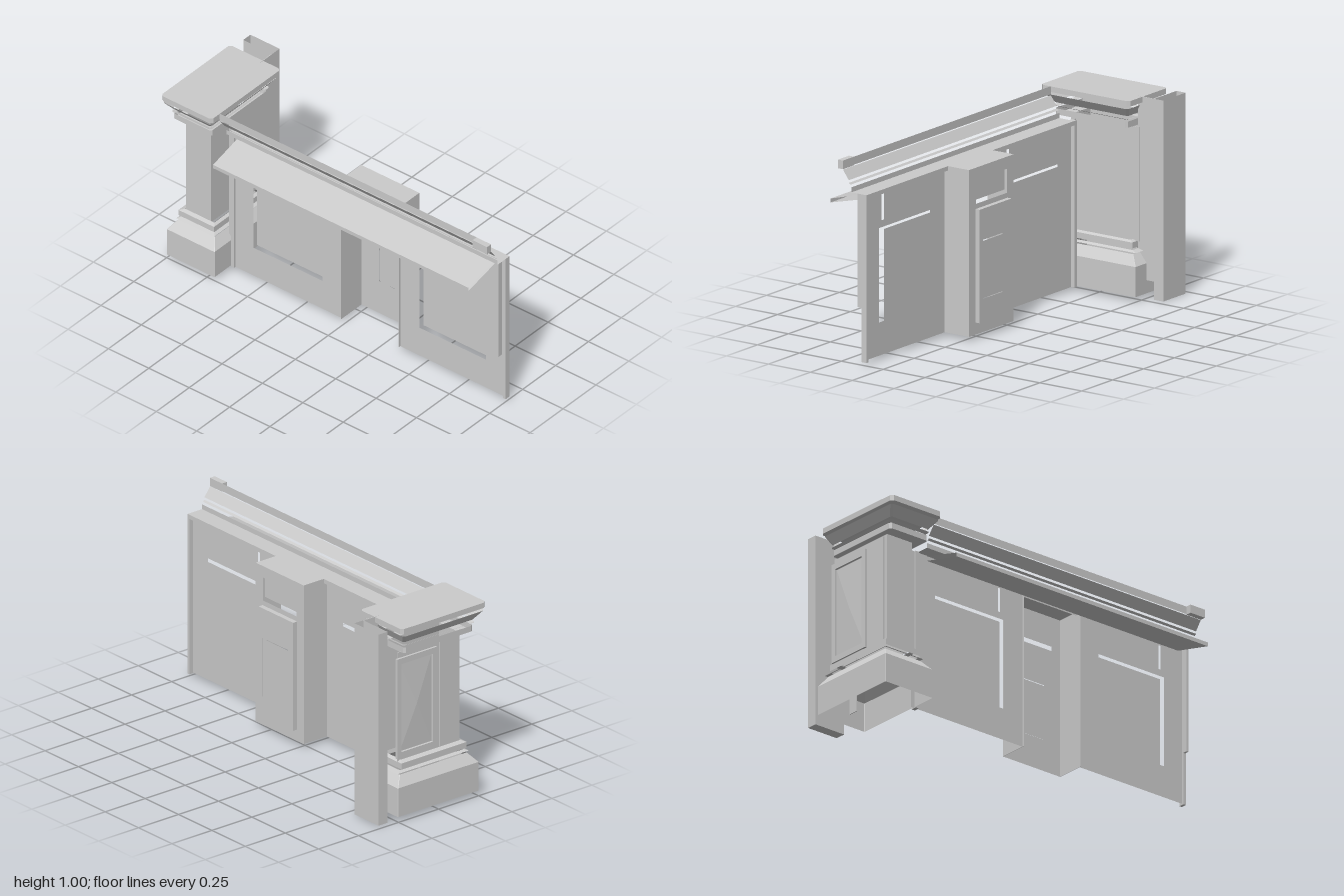
import * as THREE from 'three';

const mat = new THREE.MeshStandardMaterial({ color: 0xcccccc, side: THREE.DoubleSide, flatShading: true });

export function createModel() {
  const root = new THREE.Group();

  function add(parent, name, geo) {
    const m = new THREE.Mesh(geo, mat);
    m.name = name;
    parent.add(m);
    return m;
  }
  function group(name) {
    const g = new THREE.Group();
    g.name = name;
    root.add(g);
    return g;
  }
  // Box given by its limits
  function box(parent, name, x0, x1, y0, y1, z0, z1) {
    const g = new THREE.BoxGeometry(x1 - x0, y1 - y0, z1 - z0);
    g.translate((x0 + x1) / 2, (y0 + y1) / 2, (z0 + z1) / 2);
    return add(parent, name, g);
  }
  // Strip swept along z: an open (x, y) section between z0 and z1
  function strip(parent, name, section, z0, z1) {
    const pos = [], idx = [];
    section.forEach(([x, y], i) => {
      pos.push(x, y, z0, x, y, z1);
      if (i) idx.push(2 * i - 2, 2 * i, 2 * i - 1, 2 * i - 1, 2 * i, 2 * i + 1);
    });
    const g = new THREE.BufferGeometry();
    g.setAttribute('position', new THREE.Float32BufferAttribute(pos, 3));
    g.setIndex(idx);
    g.computeVertexNormals();
    return add(parent, name, g);
  }
  // Rectangle [x0, x1, z0, z1] with cut corners, as a loop of points
  const loop = ([a, b, c, d], k) => [
    [a + k, c], [b - k, c], [b, c + k], [b, d - k], [b - k, d], [a + k, d], [a, d - k], [a, c + k]];
  // Band running round the pedestal through a list of [rect, y] levels
  function band(parent, name, levels, k = 0.002) {
    const pos = [], idx = [];
    levels.forEach(([rect, y], j) => loop(rect, k).forEach(([x, z], i) => {
      pos.push(x, y, z);
      if (!j) return;
      const p = (j - 1) * 8 + i, q = (j - 1) * 8 + (i + 1) % 8;
      idx.push(p, p + 8, q, q, p + 8, q + 8);
    }));
    const g = new THREE.BufferGeometry();
    g.setAttribute('position', new THREE.Float32BufferAttribute(pos, 3));
    g.setIndex(idx);
    g.computeVertexNormals();
    return add(parent, name, g);
  }
  // Sheet facing +x at x, with rectangular holes [z0, z1, y0, y1]
  const trace = (p, [z0, z1, y0, y1]) =>
    p.moveTo(-z0, y0).lineTo(-z1, y0).lineTo(-z1, y1).lineTo(-z0, y1).closePath();
  function sheet(parent, name, x, rect, holes = []) {
    const s = new THREE.Shape();
    trace(s, rect);
    holes.forEach(h => { const p = new THREE.Path(); trace(p, h); s.holes.push(p); });
    const g = new THREE.ShapeGeometry(s);
    g.rotateY(Math.PI / 2);
    g.translate(x, 0, 0);
    return add(parent, name, g);
  }

  // Long panelled wall, open behind the pilaster
  const wall = group('counterWall');
  const bays = [
    { span: [0.34, 1], big: [0.46, 0.87], small: [0.48, 0.85] },
    { span: [-0.72, -0.02], big: [-0.57, -0.14], small: [-0.55, -0.16] }];
  for (const { span, big, small } of bays) {
    const lower = [...big, 0.185, 0.655], upper = [...small, 0.69, 0.835];
    sheet(wall, 'wallFrame', -0.12, [...span, 0.02, 0.85], [lower, upper]);
    sheet(wall, 'lowerPanel', -0.092, lower);
    sheet(wall, 'upperPanel', -0.105, upper);
  }
  box(wall, 'endStile', -0.13, -0.1, 0.015, 0.85, 0.985, 1);
  box(wall, 'innerStile', -0.165, -0.14, 0.28, 0.85, 0.975, 0.985);
  box(wall, 'pedestalStile', -0.13, -0.1, 0.02, 0.85, -0.7, -0.68);
  strip(wall, 'topLedge', [[-0.19, 0.875], [-0.19, 0.85], [-0.1, 0.85], [-0.1, 0.828]], -0.68, 1);

  // Hollow pilaster with a raised framed panel
  const pil = group('pilaster');
  sheet(pil, 'pilasterFront', 0.025, [-0.02, 0.34, 0.02, 0.85],
    [[0.035, 0.285, 0.67, 0.79], [0.07, 0.26, 0.185, 0.49]]);
  for (const z of [-0.02, 0.338]) box(pil, 'pilasterSide', -0.13, 0.025, 0.02, 0.85, z, z + 0.002);
  box(pil, 'pilasterTop', -0.12, 0.025, 0.848, 0.85, -0.02, 0.34);
  sheet(pil, 'upperInset', 0.012, [0.035, 0.285, 0.685, 0.79]);
  sheet(pil, 'raisedFrame', 0.05, [0.03, 0.288, 0.08, 0.645], [[0.07, 0.26, 0.185, 0.49]]);
  sheet(pil, 'innerPanel', 0.04, [0.08, 0.25, 0.195, 0.48]);
  for (const z of [0.03, 0.286]) box(pil, 'frameSide', 0.025, 0.05, 0.08, 0.645, z, z + 0.002);
  for (const y of [0.08, 0.643]) box(pil, 'frameEdge', 0.025, 0.05, y, y + 0.002, 0.03, 0.288);

  // Sloping counter top
  strip(root, 'counterTop', [[-0.13, 0.842], [-0.352, 0.782], [-0.352, 0.762], [-0.13, 0.817]], -0.63, 0.95);

  // Rail mouldings floating above the wall
  const rail = group('rail');
  strip(rail, 'railFace', [[-0.24, 0.96], [-0.24, 1]], -0.68, 1);
  strip(rail, 'railCove', [[-0.24, 0.955], [-0.205, 0.908]], -0.68, 1);
  strip(rail, 'railBead', [[-0.205, 0.895], [-0.195, 0.887]], -0.68, 1);
  box(rail, 'railEnd', -0.27, -0.24, 0.957, 1, 0.91, 1);

  // Pedestal base
  const ped = group('pedestal');
  const foot = [-0.255, 0.25, -0.995, -0.7], neck = [-0.21, 0.21, -0.96, -0.735];
  band(ped, 'plinth', [[foot, 0.025], [foot, 0.175], [neck, 0.225]]);
  band(ped, 'baseBead', [[[-0.22, 0.23, -0.965, -0.73], 0.234], [[-0.2, 0.2, -0.95, -0.745], 0.242]]);
  const collar = [-0.21, 0.2, -0.96, -0.74];
  band(ped, 'baseCollar', [[collar, 0.25], [collar, 0.28], [[-0.19, 0.18, -0.935, -0.755], 0.288]]);

  // Shaft: corner side, back face with a shallow pyramid panel, front wall
  const backZ = -0.93, frontZ = -0.775;
  box(ped, 'shaftSide', -0.19, -0.187, 0.28, 0.85, backZ, frontZ);
  box(ped, 'shaftBack', -0.19, 0.2, 0.28, 0.85, backZ, backZ + 0.003);
  box(ped, 'shaftBackStrip', -0.17, -0.06, 0.29, 0.84, backZ - 0.008, backZ);
  box(ped, 'shaftFront', -0.19, 0.22, 0.28, 0.85, frontZ - 0.003, frontZ);
  const frame = new THREE.Shape();
  frame.moveTo(-0.04, 0.3).lineTo(0.21, 0.3).lineTo(0.21, 0.82).lineTo(-0.04, 0.82).closePath();
  const gap = new THREE.Path();
  gap.moveTo(-0.015, 0.33).lineTo(-0.015, 0.79).lineTo(0.185, 0.79).lineTo(0.185, 0.33).closePath();
  frame.holes.push(gap);
  const frameGeo = new THREE.ExtrudeGeometry(frame, { depth: 0.012, bevelEnabled: false });
  frameGeo.translate(0, 0, backZ - 0.012);
  add(ped, 'shaftPanelFrame', frameGeo);
  const pyramid = new THREE.ConeGeometry(Math.SQRT1_2, 1, 4, 1, true);
  pyramid.rotateY(Math.PI / 4);
  pyramid.rotateX(-Math.PI / 2);
  pyramid.scale(0.2, 0.46, 0.01);
  pyramid.translate(0.085, 0.56, backZ - 0.005);
  add(ped, 'shaftPanel', pyramid);

  // Pedestal capital and top slab
  const lower = [-0.25, 0.18, -0.96, -0.725];
  band(ped, 'capCollar', [[[-0.19, 0.18, -0.93, -0.775], 0.848], [lower, 0.85], [lower, 0.88]], 0.01);
  band(ped, 'capBead', [[[-0.24, 0.17, -0.95, -0.735], 0.888], [[-0.26, 0.19, -0.965, -0.72], 0.895]], 0.01);
  const wide = [-0.295, 0.21, -0.99, -0.69];
  band(ped, 'capCove', [[[-0.255, 0.185, -0.96, -0.725], 0.91], [wide, 0.955]], 0.01);
  const top = new THREE.Shape(loop([-0.302, 0.225, -0.995, -0.68], 0.014).map(([x, z]) => new THREE.Vector2(x, -z)));
  const slab = new THREE.ExtrudeGeometry(top, { depth: 0.028, bevelEnabled: false });
  slab.rotateX(-Math.PI / 2);
  slab.translate(0, 0.971, 0);
  add(ped, 'capSlab', slab);

  // Hollow end post, open at the top, and the wall joining it to the pedestal
  const post = group('endPost');
  const shaft = [0.295, 0.35, -0.97, -0.79];
  band(post, 'postShaft', [[shaft, 0], [shaft, 1]], 0.0005);
  box(post, 'postFoot', 0.295, 0.35, 0, 0.002, -0.97, -0.79);
  box(post, 'joiningWall', 0.2, 0.295, 0.09, 1, -0.793, -0.79);
  return root;
}
